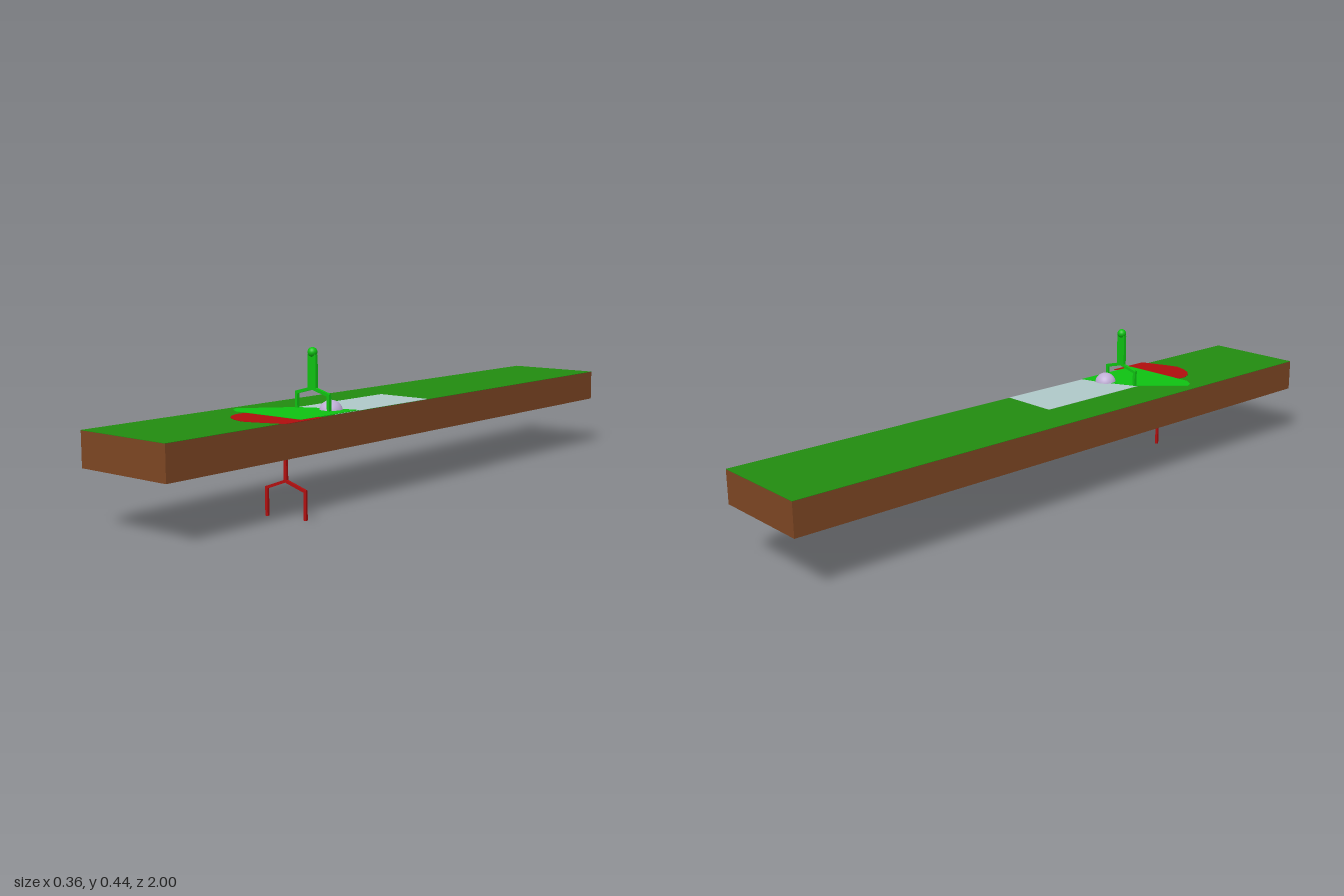
import * as THREE from 'three';

const mat = (name, color, side = THREE.FrontSide) => {
  const m = new THREE.MeshStandardMaterial({ color, side });
  m.name = name;
  return m;
};

export function createModel() {
  const brown = mat('earth brown', 0x7d4623);
  const darkGreen = mat('grass green', 0x228b10);
  const green = mat('bright green', 0x0fc212);
  const red = mat('red', 0xb00e0e);
  const grey = mat('pale grey', 0xafc8c8);
  const lilac = mat('lilac', 0xbfaed6);
  const model = new THREE.Group();

  const add = (name, geo, material, x = 0, y = 0, z = 0, parent = model) => {
    const mesh = new THREE.Mesh(geo, material);
    mesh.name = name;
    mesh.position.set(x, y, z);
    parent.add(mesh);
    return mesh;
  };

  // Thin flat patch from an outline of [x, z] points, its top at height y
  const patch = (name, points, y, material) => {
    const shape = new THREE.Shape(points.map(([x, z]) => new THREE.Vector2(x, -z)));
    const geo = new THREE.ExtrudeGeometry(shape, { depth: 0.001, bevelEnabled: false });
    geo.rotateX(-Math.PI / 2);
    add(name, geo, material, 0, y - 0.001, 0);
  };

  // Square bar between two points of the xy plane
  const bar = (name, a, b, width, depth, material, parent) => {
    const dx = b[0] - a[0], dy = b[1] - a[1];
    const mesh = add(name, new THREE.BoxGeometry(width, Math.hypot(dx, dy), depth), material,
      (a[0] + b[0]) / 2, (a[1] + b[1]) / 2, 0, parent);
    mesh.rotation.z = Math.atan2(-dx, dy);
  };

  // Pair of bent legs: hip at the middle, knees out to the sides, feet at 0
  const legs = (group, half, knee, hip, t, material) => {
    for (const s of [-1, 1]) {
      bar('thigh', [0, hip], [s * half, knee], t, t, material, group);
      bar('shin', [s * half, knee + t * 0.4], [s * half, 0], t, t, material, group);
    }
  };

  // Ground block with its grass top
  add('groundBlock', new THREE.BoxGeometry(0.32, 0.097, 2), brown, -0.02, 0.2125, 0);
  add('grassTop', new THREE.BoxGeometry(0.32, 0.001, 2), darkGreen, -0.02, 0.2615, 0);

  // Overlapping flat patches
  patch('path', [[-0.04, -0.02], [0.14, -0.02], [0.14, 0.4], [-0.04, 0.4]], 0.2627, grey);
  patch('redPatch', [[-0.07, 0.52], [-0.072, 0.565], [-0.06, 0.595], [-0.038, 0.62], [-0.005, 0.639],
    [0.035, 0.65], [0.07, 0.64], [0.157, 0.607], [0.157, 0.465]], 0.2634, red);
  patch('greenPatch', [[-0.152, 0.491], [-0.14, 0.512], [-0.109, 0.533], [0.14, 0.533], [0.14, 0.298],
    [0.09, 0.31], [0.03, 0.335], [-0.035, 0.364]], 0.2642, green);

  // Half-buried ball
  add('ball', new THREE.SphereGeometry(0.034, 32, 20), lilac, 0.072, 0.257, 0.338);

  // Standing figure
  const standing = new THREE.Group();
  standing.name = 'standingFigure';
  standing.position.set(0.03, 0.262, 0.367);
  legs(standing, 0.0605, 0.046, 0.062, 0.009, green);
  bar('body', [0, 0.057], [0, 0.157], 0.03, 0.01, green, standing);
  add('head', new THREE.SphereGeometry(0.014, 24, 16), green, 0, 0.163, 0, standing);
  model.add(standing);

  // Figure below the block, slightly turned
  const below = new THREE.Group();
  below.name = 'lowerFigure';
  below.position.set(0.1135, 0, 0.566);
  below.rotation.y = 0.18;
  legs(below, 0.061, 0.078, 0.101, 0.008, red);
  bar('stem', [0, 0.097], [0, 0.2], 0.009, 0.009, red, below);
  model.add(below);

  return model;
}
